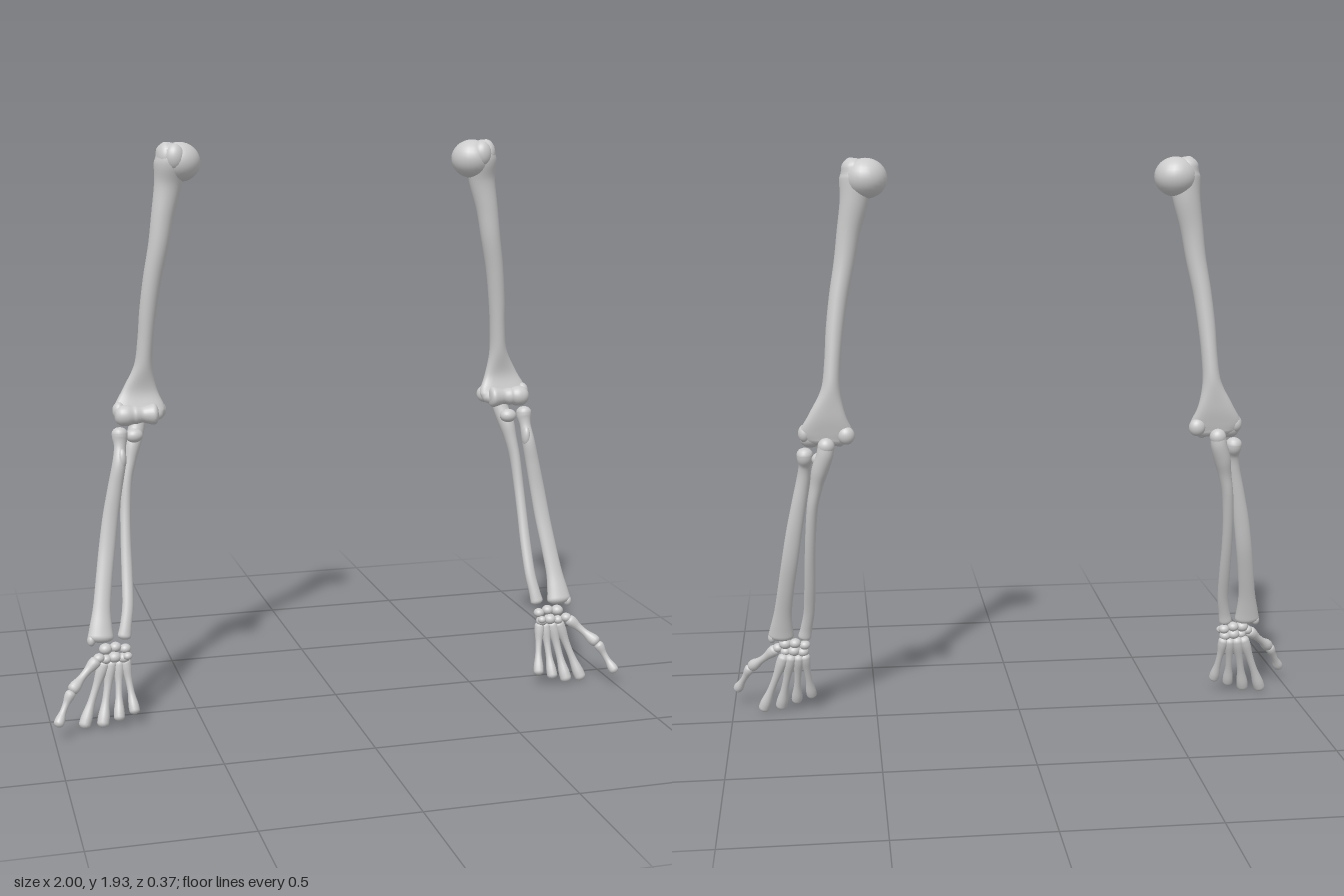
import * as THREE from 'three';

const bone = new THREE.MeshStandardMaterial({ color: 0xcbcbcb });
bone.name = 'bone grey';

// Smooth bone lofted through rows of [x, y, z, half width, half depth, waist pinch].
function loft(rows, steps = 6, sides = 24) {
  const curve = pick => new THREE.CatmullRomCurve3(rows.map(pick), false, 'catmullrom', 0.5);
  const path = curve(r => new THREE.Vector3(r[0], r[1], r[2]));
  const size = curve(r => new THREE.Vector3(r[3], r[4], r[5] || 0));
  const n = (rows.length - 1) * steps;
  const rings = [];
  for (let i = 0; i <= n; i++) {
    const t = i / n;
    rings.push({ c: path.getPoint(t), s: size.getPoint(t), T: path.getTangent(t) });
  }
  // Rounded ends
  const cap = (ring, dir) => [0.35, 0.7, 0.92, 1].map(k => ({
    c: ring.c.clone().addScaledVector(ring.T, dir * k * 0.75 * Math.min(ring.s.x, ring.s.y)),
    s: new THREE.Vector3(
      ring.s.x * Math.sqrt(1 - k * k), ring.s.y * Math.sqrt(1 - k * k), ring.s.z),
    T: ring.T,
  }));
  const startCap = cap(rings[0], -1), endCap = cap(rings[n], 1);
  const startPole = startCap.pop().c, endPole = endCap.pop().c;
  const all = [...startCap.reverse(), ...rings, ...endCap];

  const pos = [], idx = [];
  for (const { c, s, T } of all) {
    const U = new THREE.Vector3(1, 0, 0).addScaledVector(T, -T.x).normalize();
    const V = T.clone().cross(U);
    for (let j = 0; j < sides; j++) {
      const a = j / sides * Math.PI * 2, sn = Math.sin(a);
      const p = c.clone().addScaledVector(U, s.x * Math.cos(a))
        .addScaledVector(V, s.y * sn * (1 - s.z * sn * sn));
      pos.push(p.x, p.y, p.z);
    }
  }
  const last = (all.length - 1) * sides, p0 = all.length * sides, p1 = p0 + 1;
  pos.push(...startPole.toArray(), ...endPole.toArray());
  for (let j = 0; j < sides; j++) {
    const k = (j + 1) % sides;
    for (let i = 0; i < last; i += sides) {
      idx.push(i + j, i + k, i + sides + k, i + j, i + sides + k, i + sides + j);
    }
    idx.push(p0, k, j, last + j, last + k, p1);
  }
  const g = new THREE.BufferGeometry();
  g.setAttribute('position', new THREE.Float32BufferAttribute(pos, 3));
  g.setIndex(idx);
  g.computeVertexNormals();
  return g;
}

const knob = (x, y, z, rx, ry = rx, rz = rx) =>
  new THREE.SphereGeometry(1, 24, 16).scale(rx, ry, rz).translate(x, y, z);

// Small hand bone with a broad base, thin shaft and knobbed tip
function handBone(a, b, r) {
  const profile = [[0, 1.2], [0.12, 1.15], [0.35, 0.8], [0.62, 0.78], [0.85, 1.15], [0.97, 1.2]];
  return loft(profile.map(([t, k]) => [
    ...a.map((v, i) => v + (b[i] - v) * t + (i === 2 ? -0.006 * Math.sin(t * Math.PI) : 0)),
    r * k, r * k,
  ]), 4, 14);
}

function mirrored(g) {
  const m = g.clone().scale(-1, 1, 1), a = m.index.array;
  for (let i = 0; i < a.length; i += 3) [a[i + 1], a[i + 2]] = [a[i + 2], a[i + 1]];
  return m;
}

function armParts() {
  const parts = [];
  const add = (name, g) => parts.push([name, g]);

  // Upper arm
  add('humerusShaft', loft([
    [0.548, 1.908, -0.080, 0.038, 0.046],
    [0.543, 1.870, -0.080, 0.050, 0.054],
    [0.547, 1.800, -0.088, 0.046, 0.043],
    [0.567, 1.700, -0.086, 0.038, 0.036],
    [0.583, 1.600, -0.088, 0.034, 0.034],
    [0.604, 1.490, -0.099, 0.031, 0.032],
    [0.619, 1.380, -0.112, 0.029, 0.031],
    [0.628, 1.280, -0.124, 0.027, 0.031],
    [0.636, 1.190, -0.133, 0.032, 0.030],
    [0.647, 1.110, -0.137, 0.060, 0.028, 0.3],
    [0.652, 1.055, -0.126, 0.086, 0.034, 0.4],
    [0.654, 1.028, -0.116, 0.080, 0.036, 0.3],
  ]));
  add('humerusHead', knob(0.508, 1.872, -0.088, 0.070, 0.065, 0.069));
  add('greaterTubercle', knob(0.554, 1.888, -0.074, 0.032, 0.050, 0.044));
  add('lesserTubercle', knob(0.530, 1.888, -0.048, 0.034, 0.044, 0.032));

  // Elbow hinge: a spool lying across the arm
  const spool = [[0.001, 0.592], [0.026, 0.596], [0.036, 0.608], [0.031, 0.630], [0.027, 0.648],
    [0.031, 0.668], [0.031, 0.680], [0.036, 0.700], [0.033, 0.722], [0.020, 0.737], [0.001, 0.741]];
  const curve = new THREE.SplineCurve(spool.map(p => new THREE.Vector2(...p)));
  add('elbowHinge', new THREE.LatheGeometry(curve.getPoints(40), 28)
    .rotateZ(-Math.PI / 2).translate(0, 1.031, -0.102));
  add('innerEpicondyle', knob(0.588, 1.038, -0.137, 0.028, 0.030, 0.024));
  add('outerEpicondyle', knob(0.724, 1.045, -0.118, 0.022, 0.030, 0.026));

  // Forearm, thumb side
  add('radius', loft([
    [0.726, 0.972, -0.100, 0.027, 0.028],
    [0.726, 0.955, -0.097, 0.026, 0.027],
    [0.728, 0.925, -0.086, 0.020, 0.019],
    [0.735, 0.870, -0.071, 0.023, 0.024],
    [0.751, 0.790, -0.067, 0.025, 0.021],
    [0.770, 0.690, -0.060, 0.027, 0.018],
    [0.786, 0.590, -0.045, 0.028, 0.018],
    [0.802, 0.490, -0.020, 0.028, 0.018],
    [0.815, 0.400, 0.006, 0.030, 0.019],
    [0.822, 0.340, 0.024, 0.038, 0.023],
    [0.825, 0.305, 0.034, 0.044, 0.026],
  ]));
  add('radiusTuberosity', knob(0.724, 0.888, -0.068, 0.015, 0.036, 0.020));
  add('radiusTip', knob(0.857, 0.297, 0.036, 0.014, 0.020, 0.018));

  // Forearm, little finger side
  add('ulna', loft([
    [0.655, 1.010, -0.162, 0.027, 0.021],
    [0.661, 0.975, -0.157, 0.028, 0.026],
    [0.677, 0.925, -0.142, 0.028, 0.030],
    [0.690, 0.870, -0.130, 0.022, 0.025],
    [0.704, 0.800, -0.119, 0.019, 0.023],
    [0.713, 0.700, -0.099, 0.018, 0.018],
    [0.718, 0.600, -0.072, 0.018, 0.016],
    [0.721, 0.500, -0.040, 0.019, 0.015],
    [0.726, 0.400, -0.004, 0.019, 0.015],
    [0.737, 0.335, 0.016, 0.020, 0.016],
    [0.744, 0.300, 0.024, 0.023, 0.018],
  ]));
  add('ulnaHook', knob(0.674, 0.957, -0.120, 0.030, 0.024, 0.026));
  add('olecranon', knob(0.655, 1.008, -0.160, 0.028, 0.028, 0.025));

  // Wrist bones: [x, y, z, radius]
  [[0.745, 0.262, 0.045, 0.019], [0.778, 0.270, 0.044, 0.020], [0.812, 0.268, 0.050, 0.022],
    [0.742, 0.248, 0.083, 0.015], [0.752, 0.234, 0.055, 0.020], [0.783, 0.239, 0.056, 0.022],
    [0.812, 0.236, 0.062, 0.018], [0.838, 0.246, 0.074, 0.019]]
    .forEach(([x, y, z, r], i) => add('wristBone' + (i + 1), knob(x, y, z, r, r * 0.85, r)));

  // Hand bones
  add('indexFinger', handBone([0.820, 0.215, 0.052], [0.895, 0.018, 0.090], 0.0170));
  add('middleFinger', handBone([0.795, 0.214, 0.050], [0.834, 0.020, 0.101], 0.0170));
  add('ringFinger', handBone([0.768, 0.213, 0.050], [0.779, 0.038, 0.105], 0.0155));
  add('littleFinger', handBone([0.746, 0.215, 0.052], [0.726, 0.056, 0.103], 0.0150));
  add('thumbBase', handBone([0.852, 0.235, 0.080], [0.932, 0.164, 0.128], 0.0170));
  add('thumbTip', handBone([0.942, 0.152, 0.135], [0.987, 0.066, 0.174], 0.0145));
  return parts;
}

export function createModel() {
  const model = new THREE.Group();
  model.name = 'armBones';
  const left = new THREE.Group(), right = new THREE.Group();
  left.name = 'leftArm';
  right.name = 'rightArm';
  for (const [name, g] of armParts()) {
    for (const [arm, geometry] of [[left, g], [right, mirrored(g)]]) {
      const mesh = new THREE.Mesh(geometry, bone);
      mesh.name = name;
      arm.add(mesh);
    }
  }
  model.add(left, right);
  return model;
}
